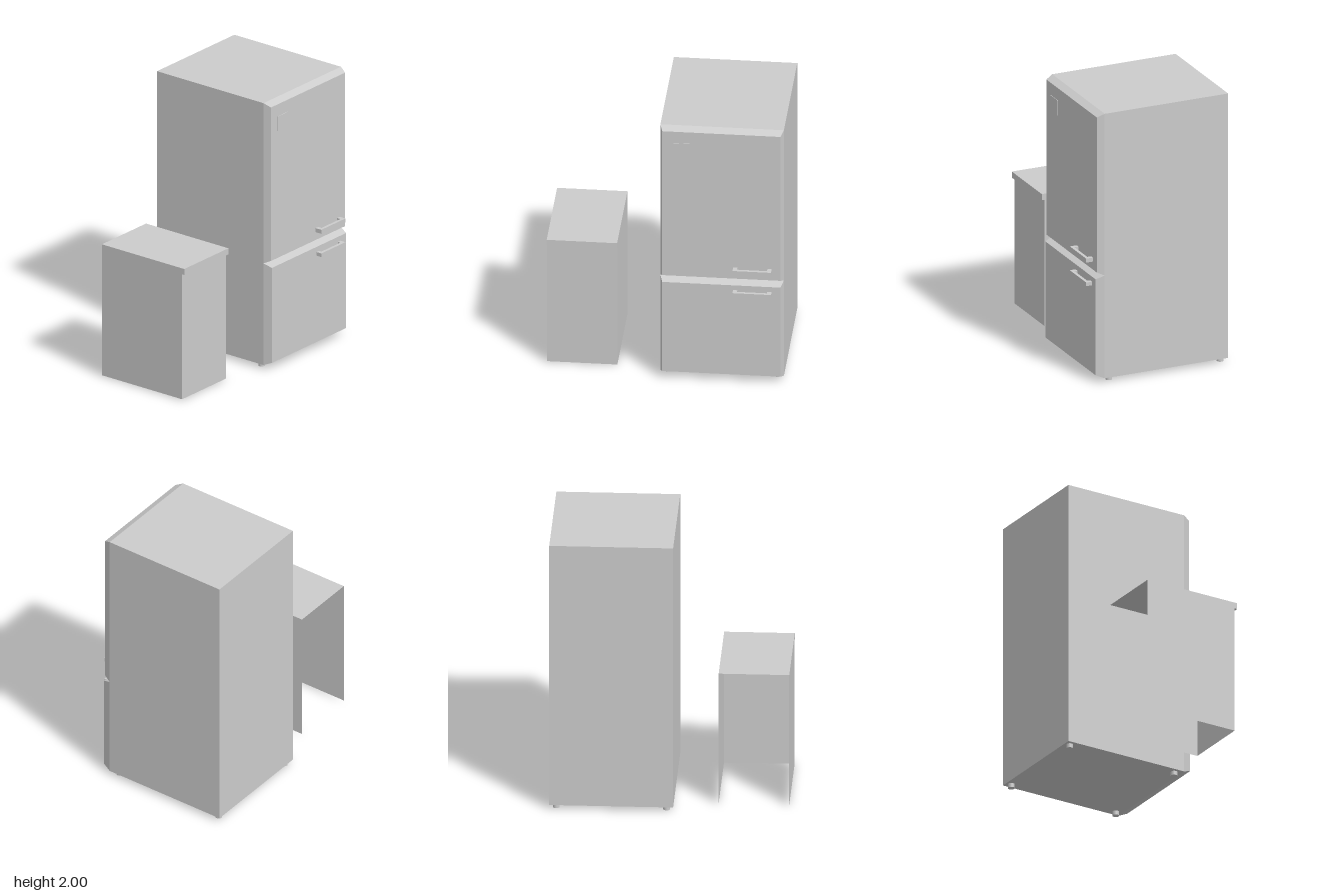
import * as THREE from 'three';

const grey = new THREE.MeshStandardMaterial({ color: 0xcccccc });
const thin = new THREE.MeshStandardMaterial({ color: 0xcccccc, side: THREE.DoubleSide });

function add(parent, name, geometry, x = 0, y = 0, z = 0, material = grey) {
  const mesh = new THREE.Mesh(geometry, material);
  mesh.name = name;
  mesh.position.set(x, y, z);
  parent.add(mesh);
  return mesh;
}

// Box given by its minimum and maximum corners
function block(parent, name, [x0, y0, z0], [x1, y1, z1]) {
  return add(parent, name, new THREE.BoxGeometry(x1 - x0, y1 - y0, z1 - z0),
    (x0 + x1) / 2, (y0 + y1) / 2, (z0 + z1) / 2);
}

// Door slab whose outer face (+x) is inset on all four edges
function door(parent, name, y0, y1, outerX) {
  const mesh = block(parent, name, [0.42, y0, -0.835], [outerX, y1, 0.03]);
  const p = mesh.geometry.attributes.position;
  for (let i = 0; i < p.count; i++) {
    if (p.getX(i) < 0) continue;
    p.setY(i, p.getY(i) - Math.sign(p.getY(i)) * 0.025);
    p.setZ(i, p.getZ(i) - Math.sign(p.getZ(i)) * 0.018);
  }
  mesh.geometry.computeVertexNormals();
}

// U-shaped pull: a bar on two posts
function handle(parent, name, y0, y1, doorX) {
  const pull = new THREE.Group();
  pull.name = name;
  block(pull, 'handleBar', [0.503, y0, -0.755], [0.525, y1, -0.485]);
  for (const z of [-0.755, -0.515]) {
    block(pull, 'handlePost', [doorX, y0, z], [0.503, y1, z + 0.03]);
  }
  parent.add(pull);
}

export function createModel() {
  const model = new THREE.Group();
  model.name = 'refrigeratorAndCabinet';

  // Refrigerator, with its doors facing +x
  const fridge = new THREE.Group();
  fridge.name = 'refrigerator';
  model.add(fridge);
  block(fridge, 'body', [-0.53, 0.03, -0.835], [0.42, 2, 0.03]);
  door(fridge, 'upperDoor', 0.795, 2, 0.473);
  door(fridge, 'lowerDoor', 0.03, 0.795, 0.481);
  handle(fridge, 'upperHandle', 0.88, 0.91, 0.473);
  handle(fridge, 'lowerHandle', 0.705, 0.732, 0.481);
  block(fridge, 'doorPlate', [0.47, 1.775, -0.183], [0.477, 1.885, -0.06]);
  for (const x of [-0.49, 0.367]) {
    for (const z of [-0.017, -0.788]) {
      add(fridge, 'foot', new THREE.CylinderGeometry(0.024, 0.024, 0.03, 16), x, 0.015, z);
    }
  }

  // Cabinet shell, open underneath and on its -x side
  const cabinet = new THREE.Group();
  cabinet.name = 'cabinet';
  model.add(cabinet);
  const zBack = 0.34, zFront = 0.833;
  const outline = [
    [0.335, 0.005], [0.335, 0.945], [0.355, 0.945], [0.355, 0.99], [-0.38, 0.99], [-0.38, 0.005],
  ].map(([x, y]) => new THREE.Vector2(x, y));
  const side = new THREE.ShapeGeometry(new THREE.Shape(outline));
  add(cabinet, 'frontPanel', side, 0, 0, zFront, thin);
  add(cabinet, 'backPanel', side.clone().scale(-1, 1, 1).rotateY(Math.PI), 0, 0, zBack, thin);

  // Panels that span the depth between neighbouring outline points
  ['doorPanel', 'lipUnderside', 'lipFront', 'top'].forEach((name, i) => {
    const a = outline[i], b = outline[i + 1];
    const panel = new THREE.BufferGeometry();
    panel.setAttribute('position', new THREE.Float32BufferAttribute([
      a.x, a.y, zFront, a.x, a.y, zBack, b.x, b.y, zBack, b.x, b.y, zFront,
    ], 3));
    panel.setIndex([0, 1, 2, 0, 2, 3]);
    panel.computeVertexNormals();
    add(cabinet, name, panel, 0, 0, 0, thin);
  });

  return model;
}
